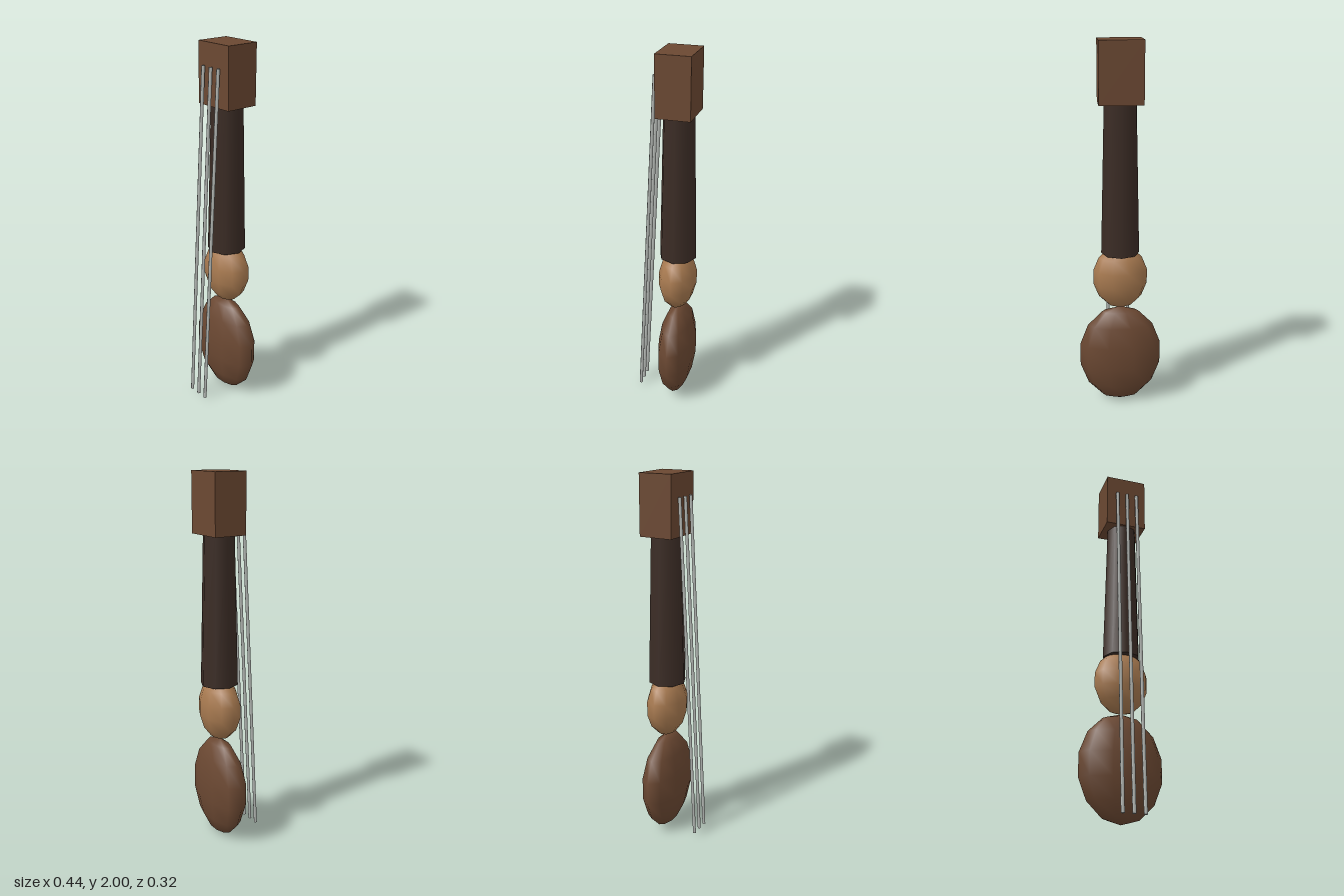
import * as THREE from 'three';

export function createModel() {
  const group = new THREE.Group();
  const axisZ = -0.059; // depth of the body axis
  const mat = (color) => new THREE.MeshStandardMaterial({ color });
  const wood = mat(0x6b4832);
  const paleWood = mat(0xa87a50);
  const darkWood = mat(0x3b2c25);
  const steel = mat(0xb4b8b4);

  const add = (name, geometry, material, x, y, z) => {
    const mesh = new THREE.Mesh(geometry, material);
    mesh.name = name;
    mesh.position.set(x, y, z);
    group.add(mesh);
    return mesh;
  };

  // Two flattened low-poly bouts, stacked
  const bout = (name, material, y, rx, ry, rz) =>
    add(name, new THREE.SphereGeometry(1, 10, 7).scale(rx, ry, rz), material, 0, y, axisZ);
  bout('lowerBody', wood, 0.285, 0.228, 0.285, 0.099);
  bout('upperBody', paleWood, 0.747, 0.149, 0.178, 0.103);

  // Tapered neck and block head
  add('neck', new THREE.CylinderGeometry(0.083, 0.102, 0.82, 8), darkWood, 0, 1.295, axisZ);
  add('head', new THREE.BoxGeometry(0.228, 0.316, 0.182), wood, 0, 1.842, axisZ);

  // Three strings leaning forward toward the bottom
  const top = new THREE.Vector3(0, 1.886, 0.049);
  const bottom = new THREE.Vector3(0, 0.017, 0.149);
  const dir = top.clone().sub(bottom);
  const mid = top.clone().add(bottom).multiplyScalar(0.5);
  for (const x of [-0.057, 0, 0.057]) {
    const string = add('string', new THREE.CylinderGeometry(0.0095, 0.0095, dir.length(), 6), steel, x, mid.y, mid.z);
    string.rotation.x = Math.atan2(dir.z, dir.y);
  }
  return group;
}
